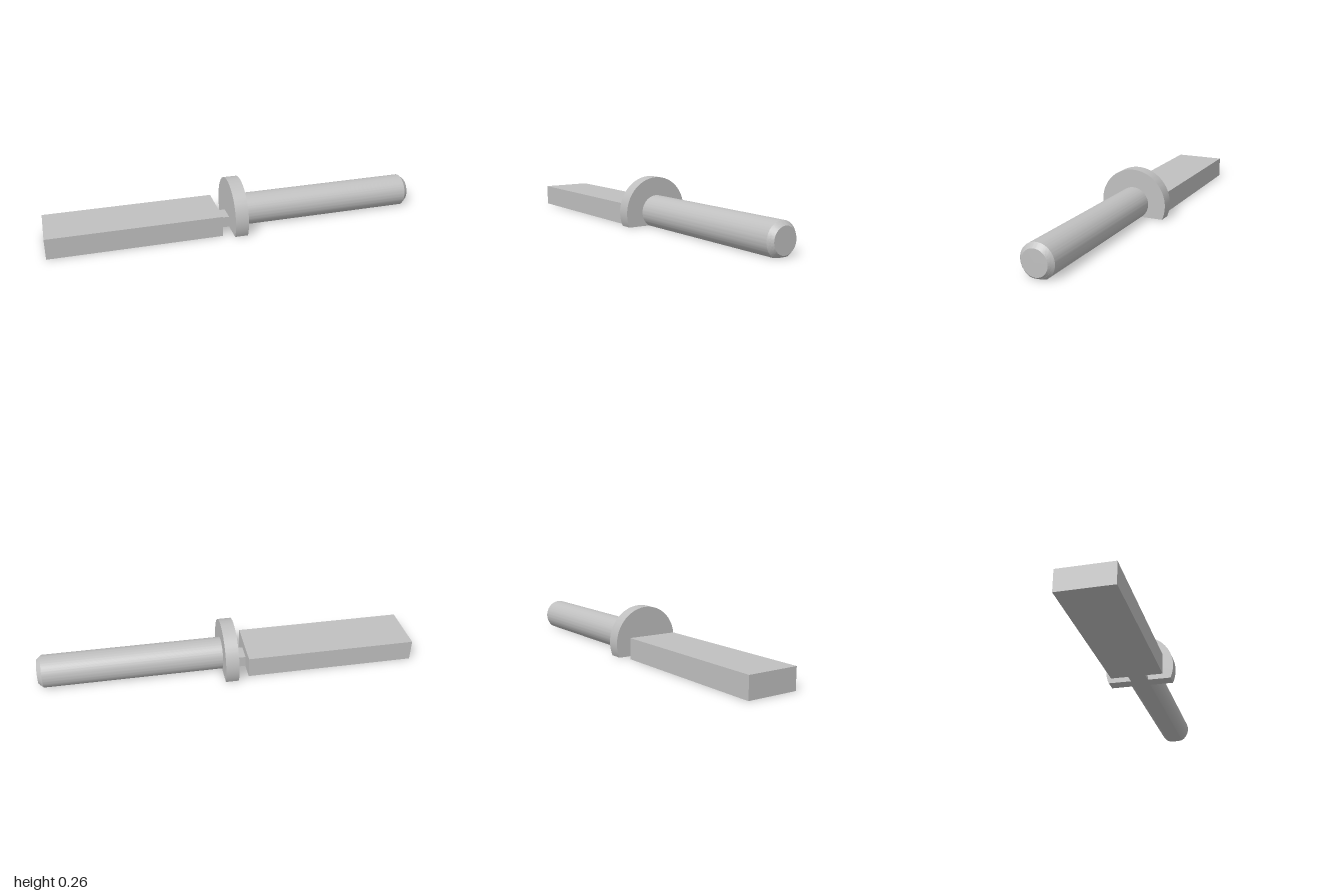
import * as THREE from 'three';
import { toCreasedNormals } from 'three/addons/utils/BufferGeometryUtils.js';

const AXIS_Y = 0.0735; // height of the turned parts' axis above the flat underside
const SEGMENTS = 72;

// One cross-section: a circle cut off flat at y = 0
function section(x, r) {
  const half = r > AXIS_Y ? Math.acos(-AXIS_Y / r) : Math.PI;
  const points = [];
  for (let i = 0; i <= SEGMENTS; i++) {
    const a = -half + (2 * half * i) / SEGMENTS;
    points.push([x, AXIS_Y + r * Math.cos(a), r * Math.sin(a)]);
  }
  return points;
}

// Turned solid along x with a flat underside, from [x, radius] stations
function turnedSolid(stations) {
  const rings = stations.map(([x, r]) => section(x, r));
  const n = SEGMENTS + 1;
  const last = rings.length - 1;
  const startCentre = [stations[0][0], AXIS_Y, 0];
  const endCentre = [stations[last][0], AXIS_Y, 0];
  const pos = [];
  const tri = (a, b, c) => pos.push(...a, ...b, ...c);
  for (let i = 0; i < n; i++) {
    const j = (i + 1) % n;
    for (let k = 0; k < last; k++) {
      const p = rings[k], q = rings[k + 1];
      tri(p[i], p[j], q[i]);
      tri(p[j], q[j], q[i]);
    }
    tri(startCentre, rings[0][j], rings[0][i]);
    tri(endCentre, rings[last][i], rings[last][j]);
  }
  const geometry = new THREE.BufferGeometry();
  geometry.setAttribute('position', new THREE.Float32BufferAttribute(pos, 3));
  return toCreasedNormals(geometry, 0.3);
}

// Box given by its x range, height and depth, standing on y = 0
function block(x0, x1, height, depth) {
  return new THREE.BoxGeometry(x1 - x0, height, depth).translate((x0 + x1) / 2, height / 2, 0);
}

export function createModel() {
  const group = new THREE.Group();
  const grey = new THREE.MeshStandardMaterial({ color: 0xc0c0c0 });
  grey.name = 'grey';

  const add = (name, geometry) => {
    const mesh = new THREE.Mesh(geometry, grey);
    mesh.name = name;
    group.add(mesh);
  };

  // Flat bar and the narrow neck joining it to the collar
  add('bar', block(-1, -0.096, 0.112, 0.275));
  add('neck', block(-0.096, -0.037, 0.059, 0.091));

  // Round collar
  add('collar', turnedSolid([[-0.037, 0.182], [0.033, 0.182]]));

  // Shaft with a chamfered tip
  const shaft = [[0.033, 0.086]];
  const steps = 8;
  for (let i = 0; i <= steps; i++) {
    const t = i / steps;
    shaft.push([0.976 + 0.024 * t, 0.086 - 0.021 * t]);
  }
  add('shaft', turnedSolid(shaft));

  return group;
}
